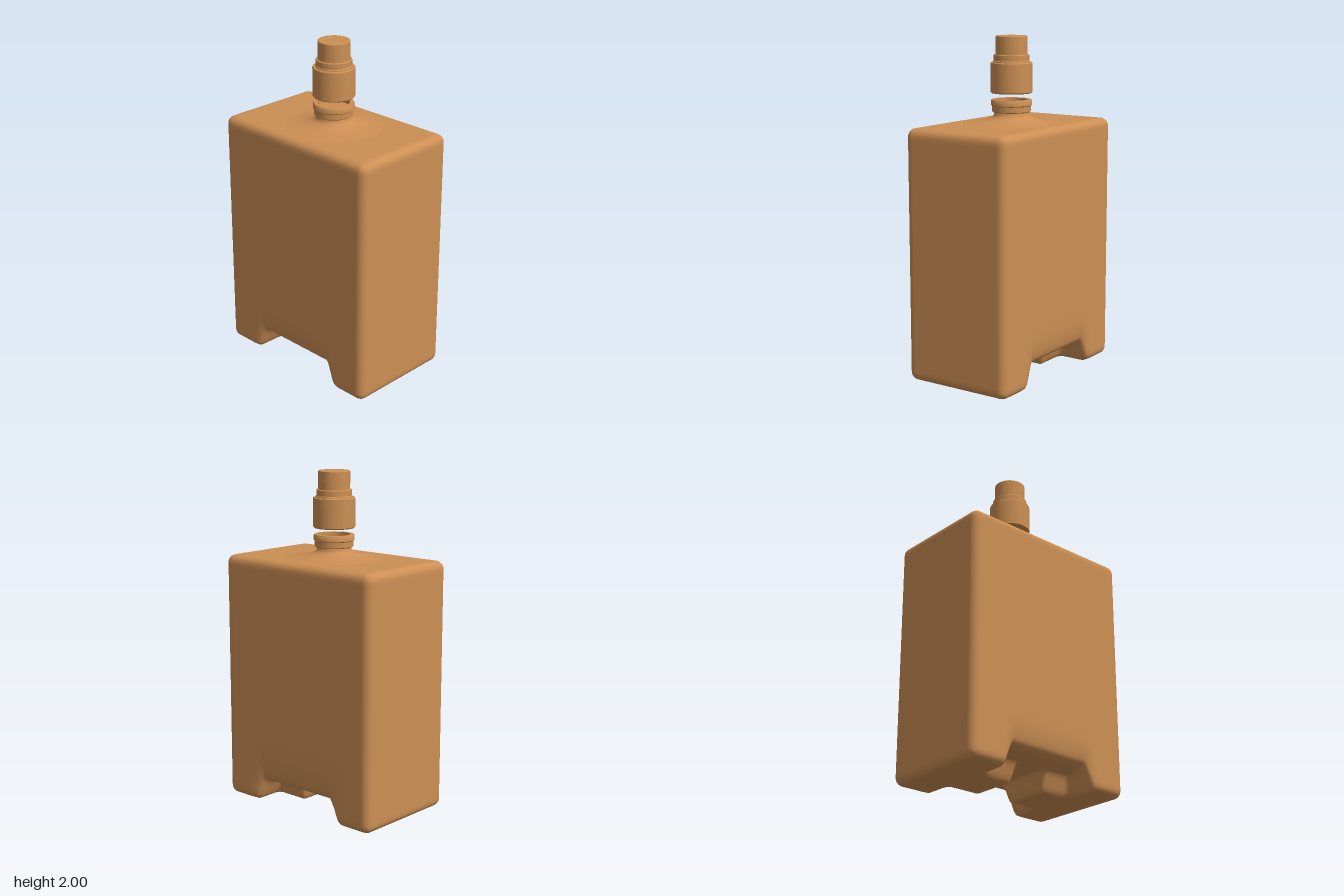
import * as THREE from 'three';
import { mergeVertices, toCreasedNormals } from 'three/addons/utils/BufferGeometryUtils.js';

const smooth = THREE.MathUtils.smoothstep;
const HALF = new THREE.Vector3(0.565, 0.746, 0.347);
const RADIUS = 0.05;

// Height of the underside: a front-to-back archway, with two pads left standing in it
function undersideHeight(x, z) {
  const ax = Math.abs(x), az = Math.abs(z);
  const arch = 1 - smooth(ax, 0.26, 0.34);
  const pad = smooth(ax, 0.085, 0.125) * (1 - smooth(az, 0.13, 0.19));
  const ceiling = 0.115 + 0.02 * smooth(az, 0.2, 0.34);
  return ceiling * arch * (1 - pad);
}

// Rounded box whose lower vertices are lifted to follow the underside
function bodyGeometry() {
  const box = new THREE.BoxGeometry(HALF.x * 2, HALF.y * 2, HALF.z * 2, 120, 50, 74);
  box.deleteAttribute('normal');
  box.deleteAttribute('uv');
  box.clearGroups();
  const geo = mergeVertices(box, 1e-5);
  const pos = geo.attributes.position;
  const inner = HALF.clone().subScalar(RADIUS);
  const p = new THREE.Vector3(), core = new THREE.Vector3();
  for (let i = 0; i < pos.count; i++) {
    p.fromBufferAttribute(pos, i);
    // denser rows near the top and bottom
    p.y = HALF.y * Math.sin((p.y / HALF.y) * Math.PI / 2);
    core.copy(p).clamp(inner.clone().negate(), inner);
    p.sub(core).normalize().multiplyScalar(RADIUS).add(core);
    let y = p.y + HALF.y;
    const low = Math.max(0, 1 - y / 0.4);
    const arch = 1 - smooth(Math.abs(p.x), 0.25, 0.38);
    const x = p.x, z = p.z;
    y += undersideHeight(x, z) * low;
    // soft dent above the archway on the front and back
    const dent = 0.03 * arch * low ** 4 * smooth(Math.abs(z), 0.25, 0.347);
    pos.setXYZ(i, x, y, z - Math.sign(z) * dent);
  }
  geo.computeVertexNormals();
  return geo;
}

export function createModel() {
  const group = new THREE.Group();
  const copper = new THREE.MeshStandardMaterial({ color: 0xcc8f54 });
  copper.name = 'copper';

  const add = (name, geometry) => {
    const mesh = new THREE.Mesh(geometry, copper);
    mesh.name = name;
    group.add(mesh);
    return mesh;
  };
  const turned = (name, profile, crease = 0.6) => {
    const points = profile.map(([r, y]) => new THREE.Vector2(r, y));
    return add(name, toCreasedNormals(new THREE.LatheGeometry(points, 64), crease));
  };

  add('body', bodyGeometry());

  // Flared shoulder running up into the neck
  turned('neck', [
    [0.3, 1.491], [0.25, 1.495], [0.2, 1.502], [0.16, 1.511], [0.13, 1.521],
    [0.11, 1.532], [0.102, 1.543], [0.1, 1.565],
  ]);

  // Collar with a shallow recess in its top
  turned('collar', [
    [0, 1.556], [0.107, 1.556], [0.114, 1.561], [0.114, 1.592], [0.12, 1.597],
    [0.12, 1.624], [0.116, 1.63], [0.093, 1.63], [0.093, 1.6], [0, 1.6],
  ]);

  // Floating sprayer: wide sleeve, step and push button
  turned('sleeve', [
    [0, 1.69], [0.095, 1.69], [0.095, 1.668], [0.117, 1.668], [0.123, 1.674],
    [0.123, 1.842], [0.119, 1.847], [0.1, 1.847],
  ]);
  turned('step', [
    [0.108, 1.84], [0.108, 1.852], [0.104, 1.857], [0.104, 1.888], [0.101, 1.892], [0.09, 1.892],
  ]);
  turned('button', [[0.093, 1.885], [0.093, 1.996], [0.089, 2], [0, 2]]);

  const nozzle = add('nozzle', new THREE.CylinderGeometry(0.008, 0.008, 0.008, 16));
  nozzle.rotation.x = Math.PI / 2;
  nozzle.position.set(0, 1.94, -0.092);

  return group;
}
